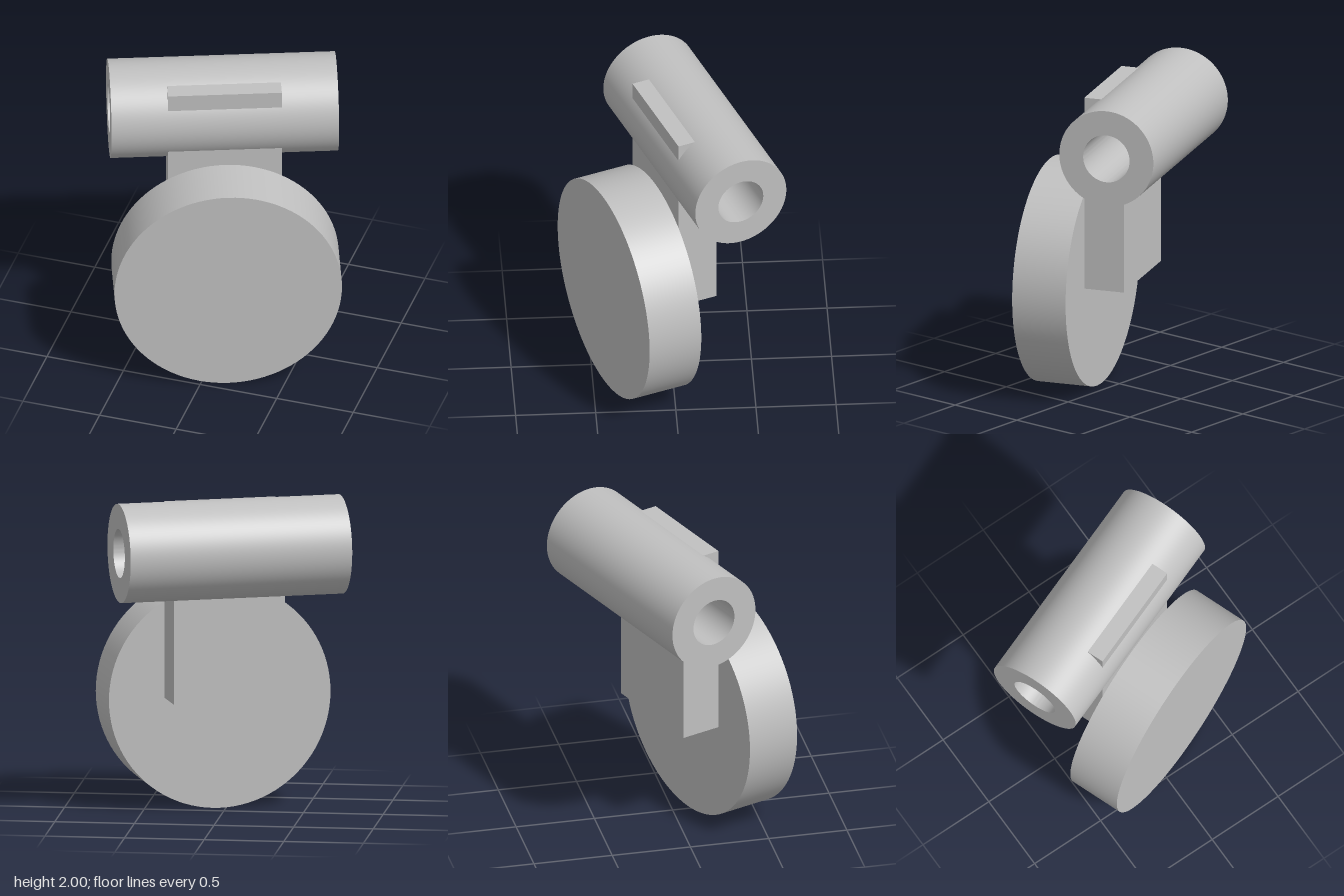
import * as THREE from 'three';
import { toCreasedNormals } from 'three/addons/utils/BufferGeometryUtils.js';

const SEGMENTS = 48;
const TUBE = { y: 1.69, z: -0.16, radius: 0.31, bore: 0.153, length: 1.42 };

// Extrudes a (z, y) side profile along x, centred on x = 0
function extrudeAlongX(shape, width) {
  const geometry = new THREE.ExtrudeGeometry(shape, {
    depth: width, bevelEnabled: false, curveSegments: SEGMENTS,
  });
  geometry.translate(0, 0, -width / 2);
  geometry.rotateY(-Math.PI / 2);
  return toCreasedNormals(geometry, Math.PI / 6);
}

export function createModel() {
  const model = new THREE.Group();
  model.name = 'hingedDisc';
  const grey = new THREE.MeshStandardMaterial({ color: 0xc0c0c0 });
  grey.name = 'grey';

  const add = (name, geometry) => {
    const mesh = new THREE.Mesh(geometry, grey);
    mesh.name = name;
    model.add(mesh);
    return mesh;
  };

  // Thick round disc at the front
  const disc = add('disc', new THREE.CylinderGeometry(0.71, 0.71, 0.352, 96));
  disc.rotation.x = Math.PI / 2;
  disc.position.set(0, 0.71, 0.285);

  // Hollow tube across the top
  const ring = new THREE.Shape();
  ring.absarc(TUBE.z, TUBE.y, TUBE.radius, 0, Math.PI * 2);
  const bore = new THREE.Path();
  bore.absarc(TUBE.z, TUBE.y, TUBE.bore, 0, Math.PI * 2, true);
  ring.holes.push(bore);
  add('tube', extrudeAlongX(ring, TUBE.length));

  // Plate joining disc and tube, notched to keep the bore open
  const back = -0.152;
  const front = 0.108;
  const notch = TUBE.bore + 0.005;
  const angle = Math.acos((back - TUBE.z) / notch);
  const profile = new THREE.Shape();
  profile.moveTo(back, 0.713);
  profile.lineTo(front, 0.713);
  profile.lineTo(front, 1.958);
  profile.lineTo(back, 1.958);
  profile.absarc(TUBE.z, TUBE.y, notch, angle, -angle, true);
  profile.closePath();
  add('plate', extrudeAlongX(profile, 0.71));

  // The whole assembly is turned about the vertical
  model.rotation.y = THREE.MathUtils.degToRad(20.6);
  return model;
}
